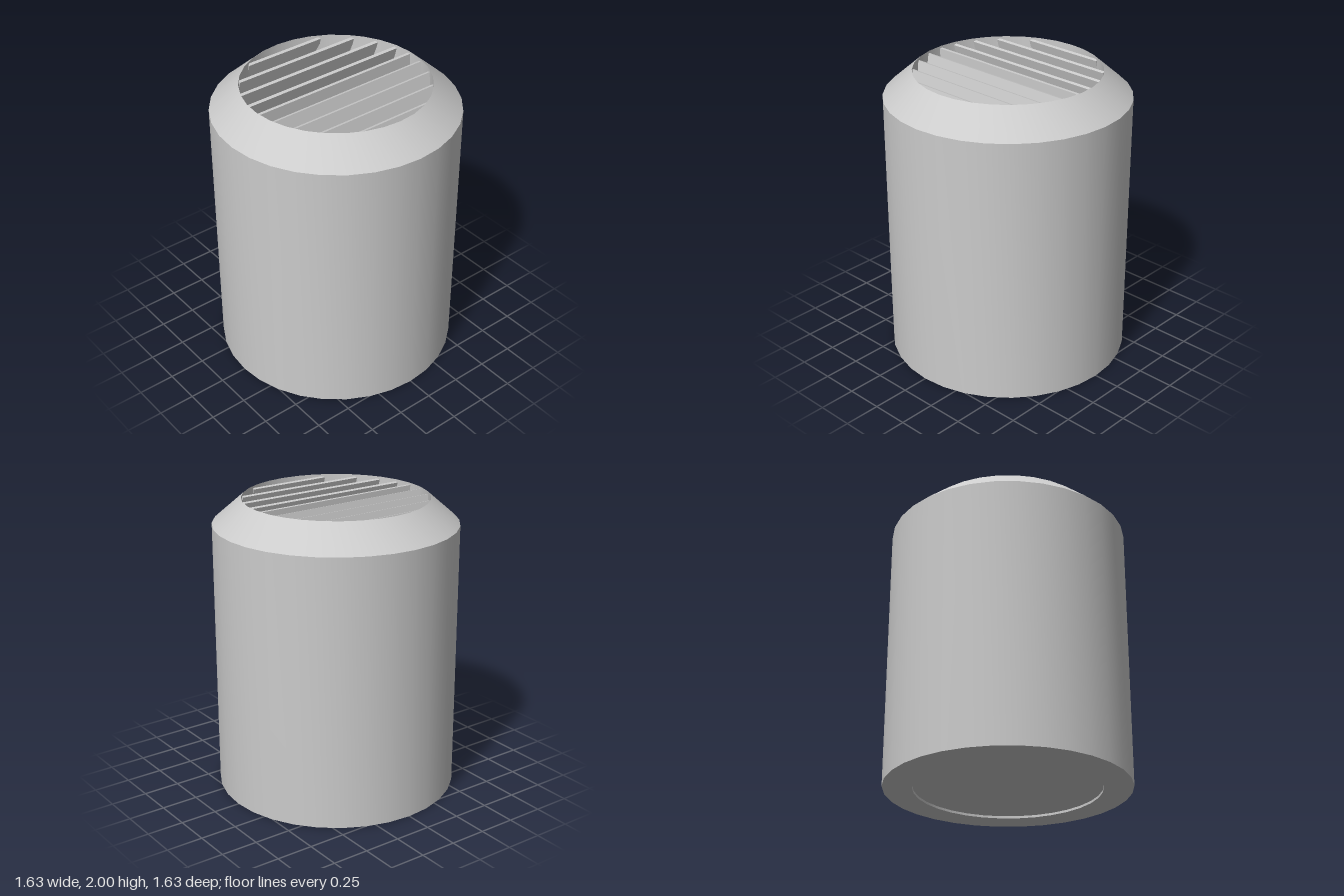
import * as THREE from 'three';
import { toCreasedNormals } from 'three/addons/utils/BufferGeometryUtils.js';

const SIDES = 32;
const OUTER = 0.815, INNER = 0.62;
const material = new THREE.MeshStandardMaterial({ color: 0xcccccc });

function addMesh(parent, name, geometry, x = 0, y = 0, z = 0) {
  const mesh = new THREE.Mesh(geometry, material);
  mesh.name = name;
  mesh.position.set(x, y, z);
  parent.add(mesh);
  return mesh;
}

export function createModel() {
  const model = new THREE.Group();
  model.name = 'louvredHousing';

  // Thick tubular housing with a chamfered top rim
  const profile = [
    [INNER, 0], [OUTER, 0], [OUTER, 1.83], [INNER, 2], [INNER, 0],
  ].map(([r, y]) => new THREE.Vector2(r, y));
  addMesh(model, 'housing', toCreasedNormals(new THREE.LatheGeometry(profile, SIDES), 0.5));

  // Floor plate, slightly recessed from the underside
  const floorBottom = 0.016, floorTop = 0.05;
  addMesh(model, 'floor',
    new THREE.CylinderGeometry(INNER, INNER, floorTop - floorBottom, SIDES),
    0, (floorBottom + floorTop) / 2);

  // Tall cone standing inside, below the louvre
  const coneHeight = 1.2;
  addMesh(model, 'innerCone',
    new THREE.ConeGeometry(0.285, coneHeight, SIDES, 1, true),
    0, floorTop + coneHeight / 2);

  // Louvre: upright centre slat, the others leaning towards it
  const louvre = new THREE.Group();
  louvre.name = 'louvre';
  model.add(louvre);
  const spacing = 0.14, thickness = 0.022, height = 0.15, tilt = 0.26;
  for (let i = -4; i <= 4; i++) {
    const x = i * spacing;
    const length = 2 * Math.sqrt(INNER ** 2 - (Math.abs(x) - 0.015) ** 2);
    const slat = addMesh(louvre, 'slat', new THREE.BoxGeometry(thickness, height, length), x, 1.91);
    slat.rotation.z = Math.sign(i) * tilt;
  }

  return model;
}
